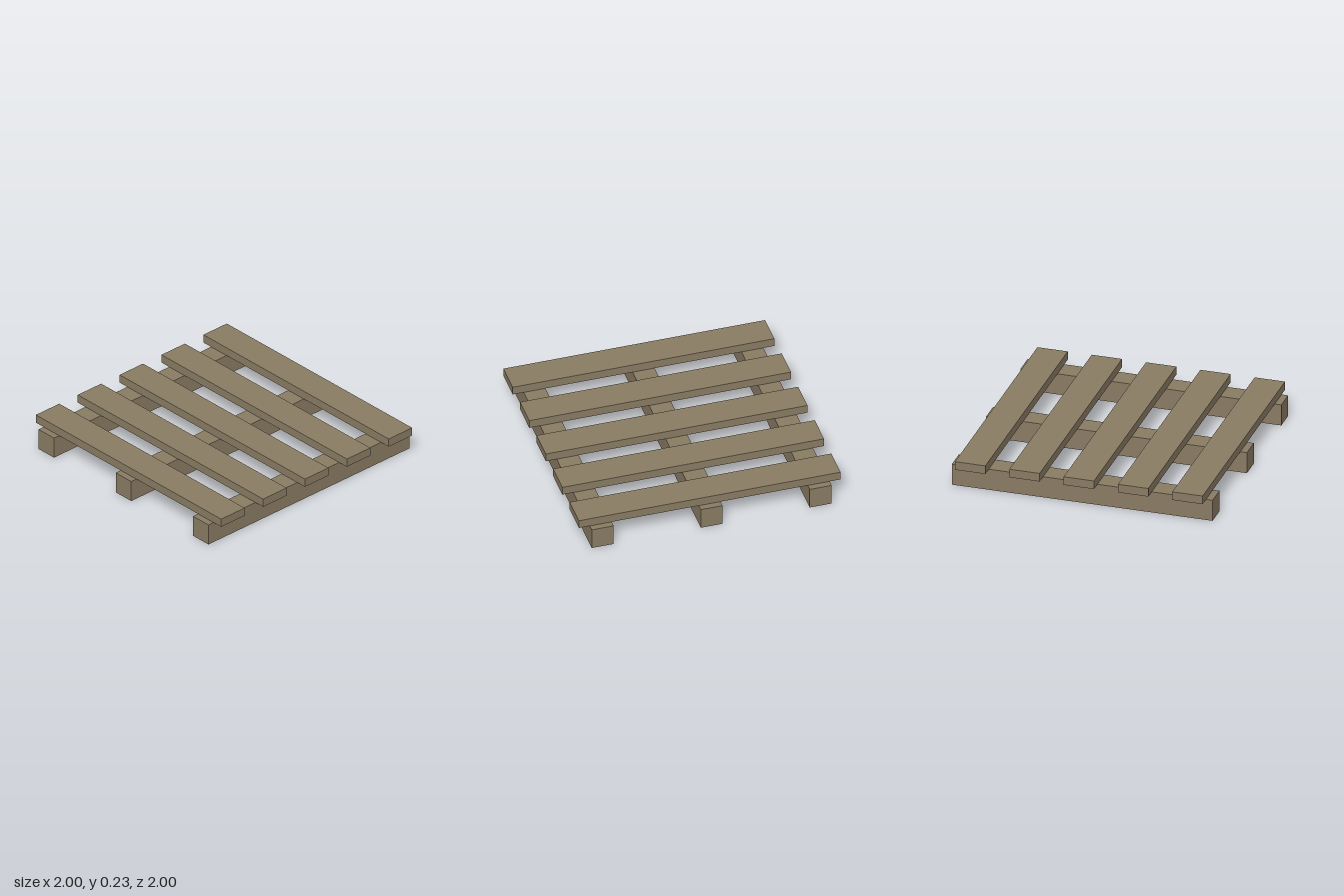
import * as THREE from 'three';

export function createModel() {
  const group = new THREE.Group();
  group.name = 'pallet';

  const wood = new THREE.MeshStandardMaterial({ color: 0x8a7c64 });
  wood.name = 'weathered wood';

  const runnerSize = 0.167;
  const boardThickness = 0.066;

  function addBeam(name, size, position) {
    const mesh = new THREE.Mesh(new THREE.BoxGeometry(...size), wood);
    mesh.name = name;
    mesh.position.set(...position);
    group.add(mesh);
  }

  // Three square runners lying across the width
  for (let i = -1; i <= 1; i++) {
    addBeam(`runner${i + 2}`, [2, runnerSize, runnerSize], [0, runnerSize / 2, i * 0.833]);
  }

  // Five evenly spaced deck boards resting on the runners
  for (let i = -2; i <= 2; i++) {
    addBeam(`deckBoard${i + 3}`, [0.233, boardThickness, 2],
      [i * 0.4167, runnerSize + boardThickness / 2, 0]);
  }

  return group;
}
